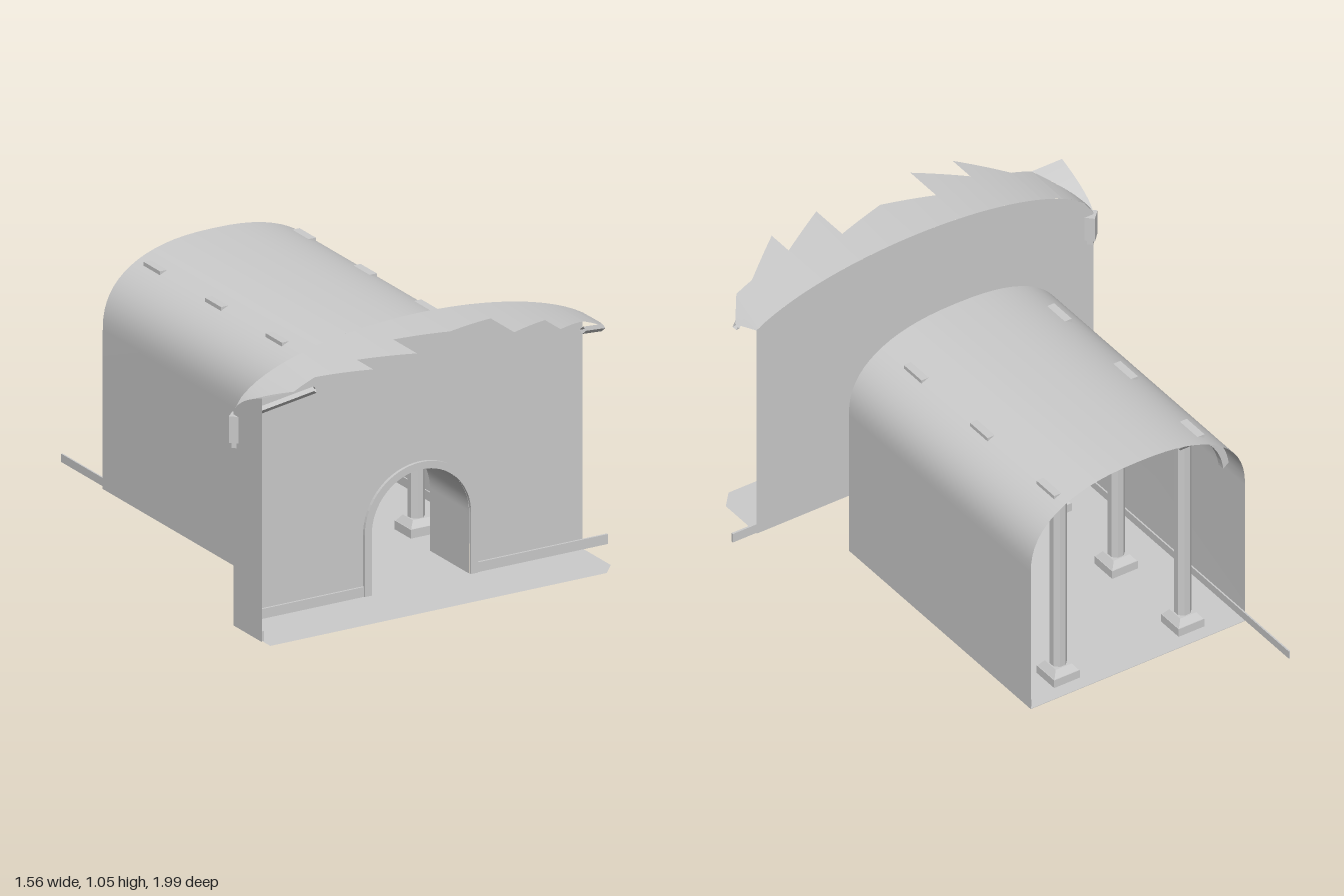
import * as THREE from 'three';

const mat = new THREE.MeshStandardMaterial({ color: 0xcccccc, side: THREE.DoubleSide });
const flat = new THREE.MeshStandardMaterial({ color: 0xcccccc, flatShading: true, side: THREE.DoubleSide });

function add(parent, name, geo, pos = [0, 0, 0], m = mat) {
  const mesh = new THREE.Mesh(geo, m);
  mesh.name = name;
  mesh.position.set(...pos);
  parent.add(mesh);
  return mesh;
}

// box given by its two corners
function slab(parent, name, [x0, y0, z0], [x1, y1, z1]) {
  return add(parent, name, new THREE.BoxGeometry(x1 - x0, y1 - y0, z1 - z0),
    [(x0 + x1) / 2, (y0 + y1) / 2, (z0 + z1) / 2]);
}

// surface strip spanned between two lines with the same number of points
function ribbon(a, b) {
  const pos = [], idx = [];
  a.forEach((p, i) => {
    pos.push(...p, ...b[i]);
    if (i) { const k = 2 * i; idx.push(k - 2, k - 1, k, k - 1, k + 1, k); }
  });
  const g = new THREE.BufferGeometry();
  g.setAttribute('position', new THREE.Float32BufferAttribute(pos, 3));
  g.setIndex(idx);
  g.computeVertexNormals();
  return g;
}

// upright walls carrying a rounded vault, as [x, y] points from left to right
function archLine(cx, half, bottom, spring, rise, power = 2, steps = 32) {
  const pts = [[cx - half, bottom]];
  for (let i = 0; i <= steps; i++) {
    const t = Math.PI * (1 - i / steps), c = Math.cos(t), s = Math.max(0, Math.sin(t));
    pts.push([cx + half * Math.sign(c) * Math.abs(c) ** (2 / power), spring + rise * s ** (2 / power)]);
  }
  pts.push([cx + half, bottom]);
  return pts;
}
const atZ = (line, z) => line.map(([x, y]) => [x, y, z]);
const shapeOf = line => new THREE.Shape(line.map(p => new THREE.Vector2(...p)));

const CX = 0.006, FLOOR = 0.027;
const hallLine = archLine(CX, 0.456, FLOOR, 0.62, 0.295, 2.4);
const tunnelLine = archLine(CX, 0.202, 0, 0.265, 0.2);
const doorLine = archLine(CX, 0.204, FLOOR, 0.262, 0.203);

// broad elliptical vault of the front room, and its corner groin
const vaultY = x => 0.8 + 0.25 * Math.sqrt(Math.max(0, 1 - (x / 0.765) ** 2));
const BACK = 0.67, FRONT = 0.865;
const groinX = z => -0.76 + 0.13 * (z - BACK) / (FRONT - BACK);

function column(x, z, side) {
  const g = new THREE.Group();
  g.name = 'column';
  slab(g, 'columnPlinth', [-0.055, 0.022, -0.055], [0.055, 0.06, 0.055]);
  const taper = (name, top, low, h, y) => {
    const geo = new THREE.CylinderGeometry(top * Math.SQRT2, low * Math.SQRT2, h, 4);
    geo.rotateY(Math.PI / 4);
    add(g, name, geo, [0, y, 0], flat);
  };
  taper('columnBase', 0.034, 0.052, 0.025, 0.0725);
  const shaft = new THREE.CylinderGeometry(0.031, 0.031, 0.75, 8);
  shaft.rotateY(Math.PI / 8);
  add(g, 'columnShaft', shaft, [0, 0.455, 0], flat);
  taper('columnCapital', 0.052, 0.032, 0.03, 0.835);
  slab(g, 'columnAbacus', [-0.055, 0.85, -0.055], [0.055, 0.868, 0.055]);
  // small wall light on the pair nearest the passage
  if (z > 0) {
    add(g, 'sconce', new THREE.CylinderGeometry(0.012, 0.006, 0.07, 6), [-side * 0.062, 0.315, 0], flat);
    slab(g, 'sconceArm', [-0.031 - 0.015, 0.3, -0.006], [0.031 + 0.015, 0.31, 0.006]);
  }
  g.position.set(x, 0, z);
  return g;
}

function hall() {
  const g = new THREE.Group();
  g.name = 'hall';
  const z0 = -0.72, z1 = 0.407;
  add(g, 'hallVault', ribbon(atZ(hallLine, z1), atZ(hallLine, z0)));
  slab(g, 'hallFloor', [CX - 0.456, FLOOR - 0.002, z0], [CX + 0.456, FLOOR, z1]);
  // end wall, notched by the passage
  const end = shapeOf([...hallLine, ...doorLine.slice().reverse()]);
  add(g, 'hallEndWall', new THREE.ShapeGeometry(end), [0, 0, z1]);
  slab(g, 'skirting', [-0.45, 0.035, -1], [-0.444, 0.066, z1]);
  slab(g, 'skirting', [0.456, 0.035, z0], [0.461, 0.066, z1]);
  for (const z of [0.21, -0.2, -0.612]) {
    for (const s of [-1, 1]) {
      g.add(column(CX + s * 0.265, z, s));
      // curved rib from capital down to the wall
      const pts = [];
      for (let i = 0; i <= 10; i++) {
        const c = 0.66 + 0.335 * Math.sin(i / 10 * Math.PI / 2);
        const y = 0.62 + 0.285 * (1 - c ** 2.4) ** (1 / 2.4);
        pts.push([CX + s * 0.452 * c, y]);
      }
      const inner = pts.map(([x, y]) => [CX + (x - CX) * 0.95, y - 0.018]).reverse();
      const rib = new THREE.ExtrudeGeometry(shapeOf([...pts, ...inner]), { depth: 0.03, bevelEnabled: false });
      add(g, 'vaultRib', rib, [0, 0, z - 0.015]);
    }
  }
  return g;
}

function passage() {
  const g = new THREE.Group();
  g.name = 'passage';
  add(g, 'passageVault', ribbon(atZ(tunnelLine, BACK), atZ(tunnelLine, 0.407)));
  slab(g, 'passageFloor', [CX - 0.202, FLOOR, 0.407], [CX + 0.202, FLOOR + 0.003, BACK]);
  // moulding around the doorway
  const outer = archLine(CX, 0.233, FLOOR, 0.262, 0.23);
  const frame = new THREE.ExtrudeGeometry(shapeOf([...outer, ...doorLine.slice().reverse()]),
    { depth: 0.012, bevelEnabled: false });
  add(g, 'doorFrame', frame, [0, 0, BACK]);
  return g;
}

// straight strip standing in for a groin rib
function groinRib(parent, a, b) {
  const curve = new THREE.LineCurve3(new THREE.Vector3(...a), new THREE.Vector3(...b));
  add(parent, 'groinRib', new THREE.TubeGeometry(curve, 1, 0.013, 4), [0, 0, 0], flat);
}

function frontRoom() {
  const g = new THREE.Group();
  g.name = 'frontRoom';
  // tall back wall with curved top and doorway notch
  const top = [];
  for (let i = 0; i <= 40; i++) {
    const x = -0.76 + 1.435 * i / 40;
    top.push([x, vaultY(x)]);
  }
  const wall = shapeOf([[-0.76, FLOOR], ...top, [0.675, FLOOR], ...doorLine.slice().reverse()]);
  add(g, 'backWall', new THREE.ShapeGeometry(wall), [0, 0, BACK]);

  // side wall and corner vault rising toward the front
  const low = [], high = [], groin = [];
  for (let i = 0; i <= 12; i++) {
    const z = BACK + (FRONT - BACK) * i / 12, y = vaultY(groinX(z));
    low.push([-0.76, FLOOR, z]);
    high.push([-0.76, y, z]);
    groin.push([groinX(z), y, z]);
  }
  add(g, 'sideWall', ribbon(low, high));
  add(g, 'cornerVault', ribbon(high, groin));

  // main vault with its broken front edge, as [x, z] corners
  const edge = [[-0.76, BACK], [-0.63, FRONT], [-0.54, 0.86], [-0.38, 0.99], [-0.38, 0.88], [-0.2, 0.99],
    [-0.2, 0.83], [0, 0.885], [0.2, 0.83], [0.2, 0.99], [0.39, 0.885], [0.39, 0.99], [0.56, 0.865],
    [0.63, 0.86], [0.7, 0.765], [0.7, 0.755], [0.672, 0.75], [0.672, BACK]];
  const back = [], front = [];
  edge.slice(0, -1).forEach(([x, z], i) => {
    const [nx, nz] = edge[i + 1];
    const steps = Math.max(1, Math.round(Math.abs(nx - x) / 0.03));
    for (let k = 0; k <= steps; k++) {
      const px = x + (nx - x) * k / steps, pz = z + (nz - z) * k / steps;
      const bx = Math.min(px, 0.675);
      back.push([bx, vaultY(bx), BACK]);
      front.push([px, vaultY(px), pz]);
    }
  });
  add(g, 'brokenVault', ribbon(back, front));
  groinRib(g, [-0.74, 0.81, 0.69], [-0.54, 0.93, 0.86]);
  groinRib(g, [0.7, 0.885, 0.76], [0.56, 0.935, 0.86]);

  // floor with a clipped corner
  const floor = new THREE.ShapeGeometry(shapeOf(
    [[-0.76, -BACK], [0.675, -BACK], [0.675, -0.86], [0.622, -0.92], [-0.76, -0.92]]));
  floor.rotateX(-Math.PI / 2);
  add(g, 'frontFloor', floor, [0, FLOOR + 0.004, 0]);

  // skirting boards
  slab(g, 'skirting', [-0.76, 0.031, BACK], [CX - 0.233, 0.068, BACK + 0.008]);
  slab(g, 'skirting', [CX + 0.233, 0.031, BACK], [0.775, 0.068, BACK + 0.008]);
  slab(g, 'skirting', [-0.76, 0.031, BACK], [-0.753, 0.068, FRONT]);

  // square corbel under the corner groin, set diagonally
  const corbel = (name, r, h, y) =>
    add(g, name, new THREE.CylinderGeometry(r, r, h, 4), [-0.748, y, 0.68], flat);
  corbel('corbel', 0.036, 0.1, 0.77);
  corbel('corbelFoot', 0.025, 0.022, 0.71);
  return g;
}

export function createModel() {
  const model = new THREE.Group();
  model.name = 'vaultedHall';
  model.add(hall(), passage(), frontRoom());
  return model;
}
